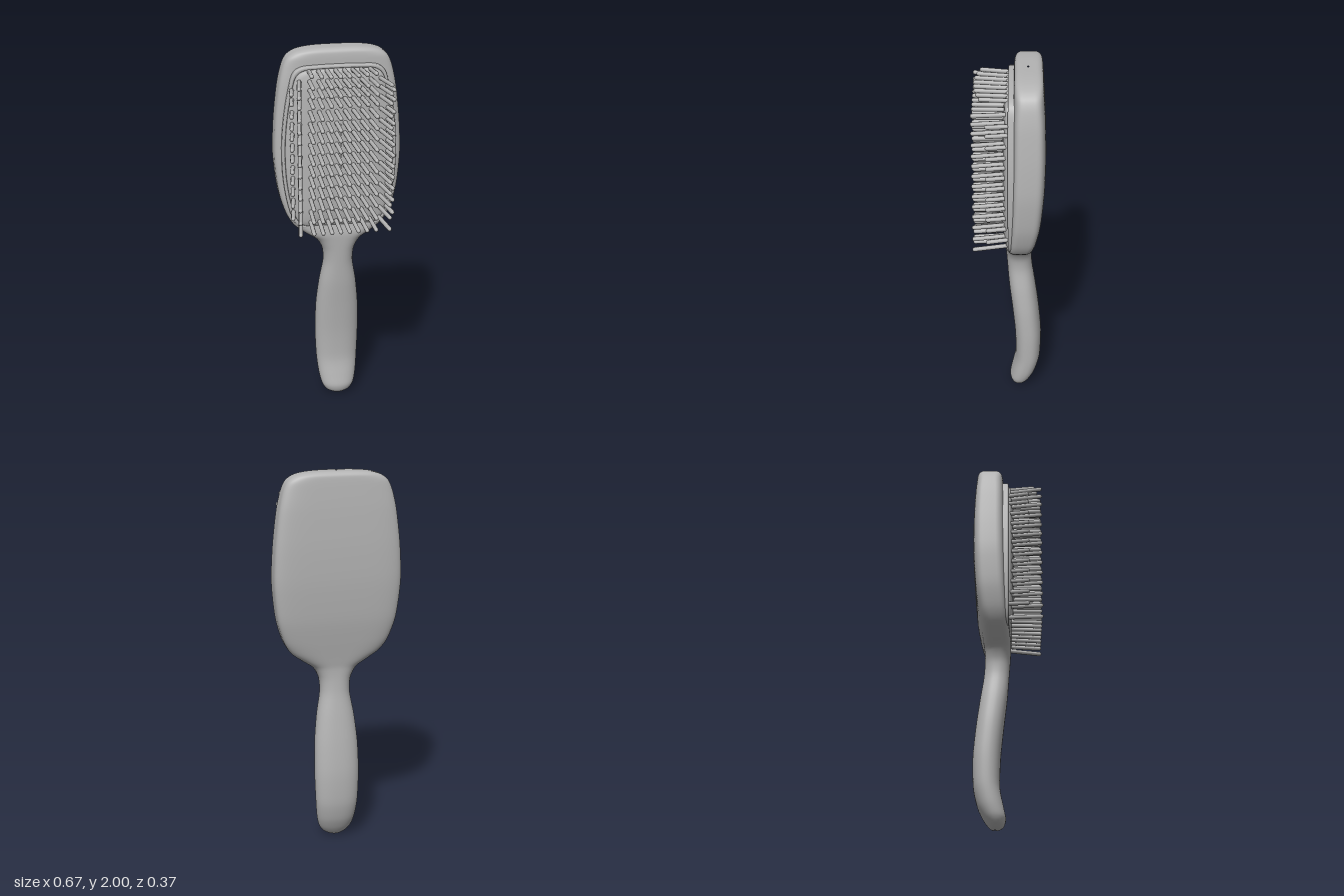
import * as THREE from 'three';
import { mergeGeometries } from 'three/addons/utils/BufferGeometryUtils.js';

// Skin a list of closed rings (equal point counts) with smooth normals
function loft(rings) {
  const n = rings[0].length, pos = [], idx = [];
  for (const ring of rings) for (const p of ring) pos.push(p.x, p.y, p.z);
  for (let i = 0; i < rings.length - 1; i++) {
    for (let j = 0; j < n; j++) {
      const a = i * n + j, b = i * n + (j + 1) % n;
      idx.push(a, a + n, b, b, a + n, b + n);
    }
  }
  const g = new THREE.BufferGeometry();
  g.setAttribute('position', new THREE.Float32BufferAttribute(pos, 3));
  g.setIndex(idx);
  g.computeVertexNormals();
  return g;
}

// Handle and head stations: height, half width, front z, back z, squareness
const STATIONS = [
  [0, 0.005, -0.06, -0.07, 2], [0.006, 0.035, -0.035, -0.088, 2], [0.025, 0.068, -0.017, -0.105, 2.1],
  [0.06, 0.09, -0.01, -0.128, 2.2], [0.12, 0.104, -0.022, -0.155, 2.3], [0.22, 0.114, -0.04, -0.177, 2.4],
  [0.38, 0.12, -0.036, -0.181, 2.4], [0.55, 0.116, -0.02, -0.166, 2.4], [0.7, 0.1, -0.003, -0.146, 2.4],
  [0.82, 0.08, 0.006, -0.128, 2.3], [0.9, 0.086, 0.012, -0.122, 2.4], [0.96, 0.118, 0.016, -0.122, 2.7],
  [1.0, 0.175, 0.017, -0.128, 3.2], [1.05, 0.24, 0.01, -0.137, 4], [1.12, 0.282, 0, -0.15, 5],
  [1.24, 0.317, -0.008, -0.169, 5.5], [1.43, 0.336, -0.013, -0.184, 5.5], [1.62, 0.328, -0.017, -0.187, 5.5],
  [1.8, 0.307, -0.02, -0.182, 5.5], [1.9, 0.285, -0.023, -0.176, 5], [1.95, 0.262, -0.025, -0.172, 5],
  [1.978, 0.225, -0.029, -0.168, 4.5], [1.992, 0.175, -0.038, -0.158, 4], [1.999, 0.1, -0.055, -0.14, 3.5],
  [2, 0.005, -0.09, -0.1, 2],
];

function bodyGeometry() {
  const spline = (f) => new THREE.CatmullRomCurve3(STATIONS.map(f), false, 'catmullrom', 0.4);
  const outline = spline((s) => new THREE.Vector3(s[1], s[0], s[2]));
  const depth = spline((s) => new THREE.Vector3(s[3], s[4], 0));
  const steps = (STATIONS.length - 1) * 4, sides = 72, rings = [];
  for (let i = 0; i <= steps; i++) {
    const { x: w, y, z: front } = outline.getPoint(i / steps);
    const { x: back, y: n } = depth.getPoint(i / steps);
    const mid = (front + back) / 2, half = (front - back) / 2;
    const bend = (v) => Math.sign(v) * Math.abs(v) ** (2 / n);
    rings.push(Array.from({ length: sides }, (_, j) => {
      const a = (j / sides) * Math.PI * 2;
      return new THREE.Vector3(w * bend(Math.cos(a)), THREE.MathUtils.clamp(y, 0, 2), mid + half * bend(Math.sin(a)));
    }));
  }
  return loft(rings);
}

// Cushion outline, right half from top to bottom, then mirrored
const HALF = [[0, 1.922], [0.12, 1.92], [0.2, 1.912], [0.236, 1.885], [0.262, 1.8], [0.292, 1.62],
  [0.302, 1.45], [0.292, 1.28], [0.262, 1.13], [0.235, 1.07], [0.2, 1.042], [0.12, 1.036], [0, 1.035]];
const CENTRE_Y = 1.478;

function cushionGeometry(profile) {
  const pts = [...HALF, ...HALF.slice(1, -1).reverse().map(([x, y]) => [-x, y])];
  const curve = new THREE.CatmullRomCurve3(pts.map(([x, y]) => new THREE.Vector3(x, y, 0)), true);
  const edge = curve.getPoints(96).slice(0, 96);
  return loft(profile.map(([inset, z]) => edge.map((p) => new THREE.Vector3(
    p.x * (1 - inset / 0.3), CENTRE_Y + (p.y - CENTRE_Y) * (1 - inset / 0.44), z))));
}

// Height of the domed pad, used to seat the pins
const domeZ = (x, y) => 0.036 - 0.022 * Math.max((x / 0.28) ** 2, ((y - CENTRE_Y) / 0.43) ** 4);

function pin(base, tip) {
  const r = 0.0115, dir = tip.clone().sub(base), len = dir.length();
  const g = new THREE.CapsuleGeometry(r, len - 2 * r, 3, 8);
  g.applyQuaternion(new THREE.Quaternion().setFromUnitVectors(new THREE.Vector3(0, 1, 0), dir.normalize()));
  const m = base.clone().add(tip).multiplyScalar(0.5);
  return g.translate(m.x, m.y, m.z);
}

function pinsGeometry() {
  const rows = [1.9, 1.85, 1.805, 1.755, 1.69, 1.628, 1.573, 1.515, 1.456, 1.396, 1.336, 1.276, 1.212, 1.143, 1.08];
  // base x, tip x, tip z, first row, last row
  const columns = [[0.022, 0.023, 0.182, 0, 14], [0.066, 0.07, 0.182, 0, 14], [0.11, 0.116, 0.182, 0, 14],
    [0.157, 0.164, 0.182, 0, 14], [0.208, 0.236, 0.185, 1, 14], [0.246, 0.265, 0.115, 2, 13]];
  const list = [];
  rows.forEach((y, i) => {
    for (const [x0, x1, z1, first, last] of columns) {
      if (i < first || i > last) continue;
      const lean = 0.01 * ((y - CENTRE_Y) / 0.43) ** 3;
      const tipZ = i === 0 ? 0.177 - x0 * x0 * 1.2 : z1;
      for (const s of [-1, 1]) {
        list.push(pin(new THREE.Vector3(s * x0, y - lean / 2, domeZ(x0, y) - 0.02),
          new THREE.Vector3(s * x1, y + lean / 2, tipZ)));
      }
    }
  });
  return mergeGeometries(list);
}

export function createModel() {
  const grey = new THREE.MeshStandardMaterial({ color: 0xb4b4b4 });
  grey.name = 'grey';
  const group = new THREE.Group();
  group.name = 'paddleHairbrush';
  const add = (name, geometry) => {
    const mesh = new THREE.Mesh(geometry, grey);
    mesh.name = name;
    group.add(mesh);
  };
  add('handleAndHead', bodyGeometry());
  // Raised lip around the pad
  add('cushionRim', cushionGeometry([[0, -0.05], [0, -0.006], [0.002, 0], [0.006, 0.003], [0.013, 0.003],
    [0.017, 0], [0.018, -0.012]]));
  // Domed pad
  add('cushion', cushionGeometry([[0.016, -0.02], [0.017, 0.004], [0.022, 0.012], [0.04, 0.018], [0.08, 0.026],
    [0.14, 0.032], [0.21, 0.035], [0.299, 0.036]]));
  add('pins', pinsGeometry());
  return group;
}
